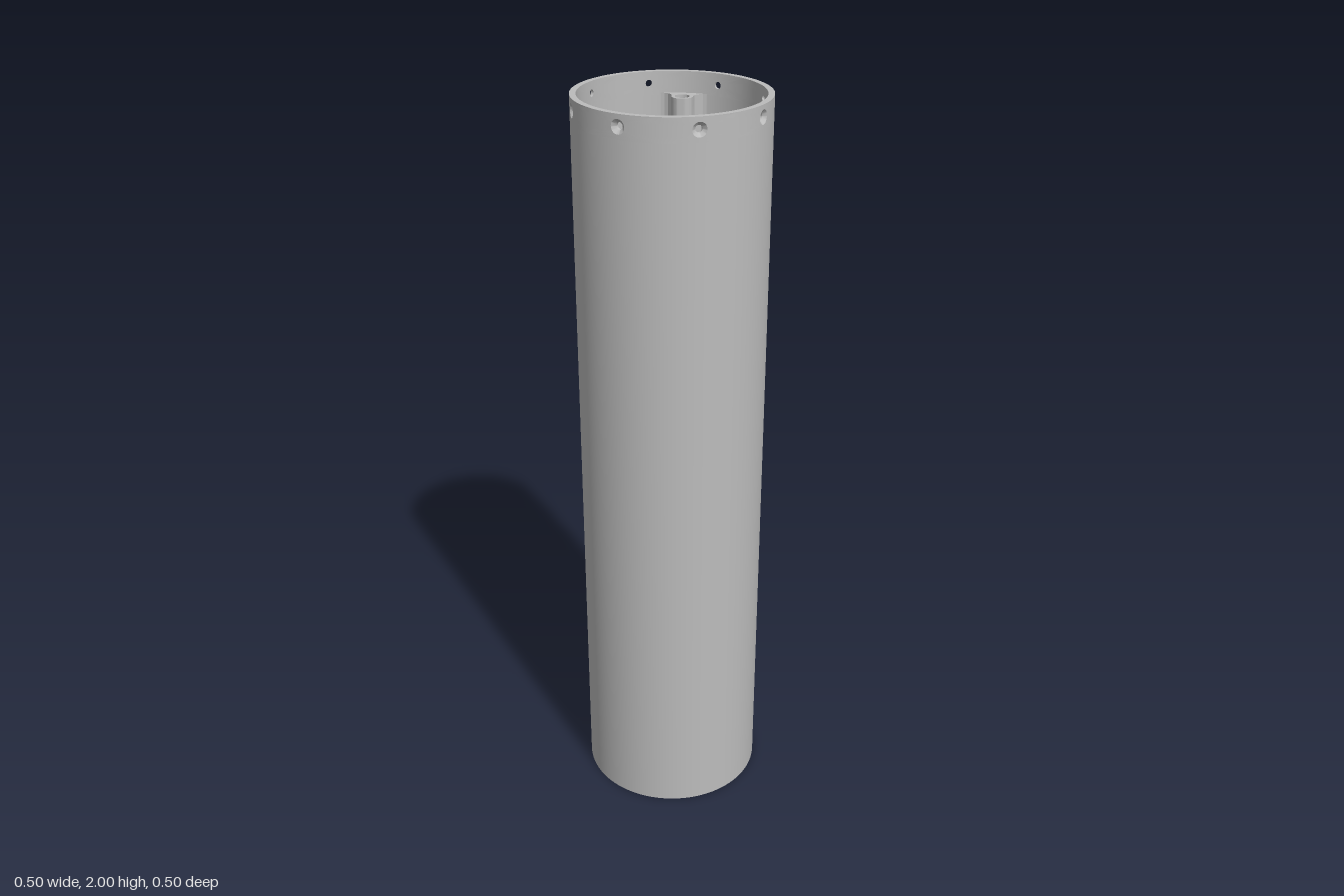
import * as THREE from 'three';
import { mergeGeometries, toCreasedNormals } from 'three/addons/utils/BufferGeometryUtils.js';

const OUTER = 0.248, INNER = 0.232, TOP = 2, BAND = 1.94;
const grey = new THREE.MeshStandardMaterial({ color: 0xbcbcbc });
grey.name = 'grey metal';

function add(parent, name, geometry) {
  const mesh = new THREE.Mesh(geometry, grey);
  mesh.name = name;
  parent.add(mesh);
  return mesh;
}

// Upright prism from a plan shape, between two heights
function prism(shape, y0, y1) {
  const g = new THREE.ExtrudeGeometry(shape, { depth: y1 - y0, bevelEnabled: false, curveSegments: 24 });
  g.rotateX(-Math.PI / 2).translate(0, y0, 0);
  return toCreasedNormals(g, 0.5);
}

const circle = (x, y, r) => new THREE.Path().absarc(x, y, r, 0, Math.PI * 2, true);

// One eighth of the top band, lofted from its border through a countersunk hole to the inner face
function bandPatch(a0) {
  const N = 40, half = Math.PI / 8, h = (TOP - BAND) / 2, yc = BAND + h;
  const border = (i) => {
    if (i < 4) return [half, h * (i / 2 - 1)];
    if (i < 20) return [half * (1 - (i - 4) / 8), h];
    if (i < 24) return [-half, h * (1 - (i - 20) / 2)];
    return [half * ((i - 24) / 8 - 1), -h];
  };
  const rings = [];
  for (let k = 0; k <= 5; k++) rings.push([0.018, k / 5, OUTER]);
  rings.push([0.009, 1, 0.239]);
  for (let k = 5; k >= 0; k--) rings.push([0.009, k / 5, INNER]);
  const pos = [], index = [];
  rings.forEach(([r, t, R], k) => {
    for (let i = 0; i < N; i++) {
      const [ba, by] = border(i), th = ((i - 2) / N) * Math.PI * 2;
      const a = a0 + ba * (1 - t) + (Math.cos(th) * r / OUTER) * t;
      const y = yc + by * (1 - t) + Math.sin(th) * r * t;
      pos.push(R * Math.sin(a), y, R * Math.cos(a));
      if (k === rings.length - 1) continue;
      const j = (i + 1) % N, p = k * N, q = p + N;
      index.push(p + i, p + j, q + j, p + i, q + j, q + i);
    }
  });
  const g = new THREE.BufferGeometry();
  g.setAttribute('position', new THREE.Float32BufferAttribute(pos, 3));
  g.setIndex(index);
  return g;
}

// Plan of a screw boss blended into the wall by two fillets
function bossShape(hole) {
  const c = 0.194, r = 0.028, f = 0.027, R = INNER - f;
  const d = Math.acos((R * R + c * c - (r + f) ** 2) / (2 * R * c));
  const fx = R * Math.cos(d), fy = R * Math.sin(d);
  const b = Math.atan2(fy, fx - c);
  const s = new THREE.Shape();
  s.absarc(0, 0, INNER + 0.002, -d, d, false);
  s.absarc(fx, fy, f, d, b - Math.PI, true);
  s.absarc(c, 0, r, b, Math.PI * 2 - b, false);
  s.absarc(fx, -fy, f, Math.PI - b, -d, true);
  if (hole) s.holes.push(circle(c, 0, hole));
  return s;
}

// Curved shelf between the two bosses on the -x side
function shelfShape(holes) {
  const a = THREE.MathUtils.degToRad(43.5);
  const s = new THREE.Shape();
  s.absarc(0, 0, INNER + 0.002, Math.PI - a, Math.PI + a, false);
  s.absarc(0, 0, 0.165, Math.PI + a, Math.PI - a, true);
  s.closePath();
  s.holes.push(...holes);
  return s;
}

export function createModel() {
  const model = new THREE.Group();
  model.name = 'tubeHousing';

  // Tube wall, holed top band and rim
  const profile = [[INNER, BAND], [INNER, 0], [OUTER, 0], [OUTER, BAND]];
  const wall = new THREE.LatheGeometry(profile.map(([x, y]) => new THREE.Vector2(x, y)), 128);
  add(model, 'tubeWall', toCreasedNormals(wall, 0.5));
  const patches = [];
  for (let i = 0; i < 8; i++) patches.push(bandPatch((i + 0.5) * Math.PI / 4));
  add(model, 'holedTopBand', toCreasedNormals(mergeGeometries(patches), 0.4));
  const rim = new THREE.RingGeometry(INNER, OUTER, 128);
  add(model, 'topRim', rim.rotateX(-Math.PI / 2).translate(0, TOP, 0));

  // Four screw bosses with counterbores and domed pins
  for (let i = 0; i < 4; i++) {
    const boss = new THREE.Group();
    boss.name = 'screwBoss' + (i + 1);
    boss.rotation.y = Math.PI / 4 + i * Math.PI / 2;
    add(boss, 'bossColumn', prism(bossShape(0), 0.2, 1.9));
    add(boss, 'bossHole', prism(bossShape(0.0115), 1.9, 1.93));
    add(boss, 'bossCounterbore', prism(bossShape(0.019), 1.93, 1.945));
    const dome = new THREE.SphereGeometry(0.0115, 24, 10, 0, Math.PI * 2, 0, Math.PI / 2);
    add(boss, 'pinDome', dome.translate(0.194, 1.9, 0));
    model.add(boss);
  }

  // Shelf with a slotted recess and two cable holes
  const slot = new THREE.Path();
  slot.absarc(-0.2, 0.014, 0.026, 0, Math.PI, false);
  slot.absarc(-0.2, -0.014, 0.026, Math.PI, Math.PI * 2, false);
  slot.closePath();
  const cableHoles = [-0.02, 0.02].map((z) => circle(-0.2, z, 0.009));
  add(model, 'shelfTop', prism(shelfShape([slot]), 1.855, 1.87));
  add(model, 'shelfBase', prism(shelfShape(cableHoles), 1.83, 1.855));

  return model;
}
